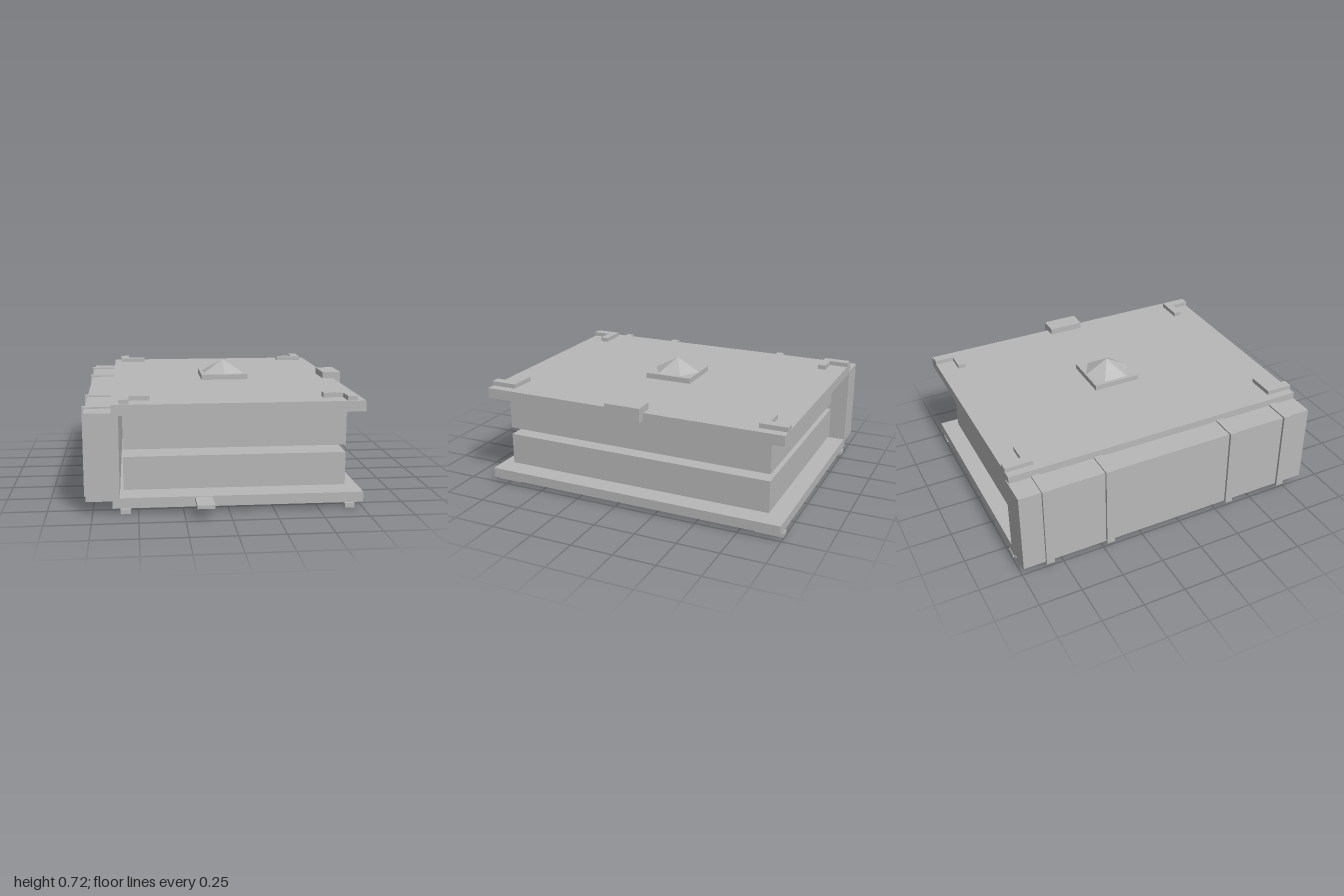
import * as THREE from 'three';

export function createModel() {
  const book = new THREE.Group();
  book.name = 'book';
  const grey = new THREE.MeshStandardMaterial({ color: 0xb8b8b8 });
  grey.name = 'plain grey';

  // Box given by its limits on each axis
  function box(name, [x0, x1], [y0, y1], [z0, z1]) {
    const mesh = new THREE.Mesh(new THREE.BoxGeometry(x1 - x0, y1 - y0, z1 - z0), grey);
    mesh.position.set((x0 + x1) / 2, (y0 + y1) / 2, (z0 + z1) / 2);
    mesh.name = name;
    book.add(mesh);
  }

  // Covers and the two page blocks
  box('backCover', [-0.64, 0.752], [0.032, 0.09], [-0.995, 0.837]);
  box('frontCover', [-0.64, 0.752], [0.546, 0.606], [-0.995, 0.837]);
  box('lowerPages', [-0.58, 0.667], [0.11, 0.298], [-0.9, 0.745]);
  box('upperPages', [-0.58, 0.667], [0.34, 0.53], [-0.9, 0.745]);

  // Spine with raised bands
  box('spine', [-0.785, -0.6], [0.075, 0.563], [-0.999, 0.841]);
  for (const z of [-0.845, -0.475, 0.313, 0.683]) {
    box('spineBand', [-0.8, -0.64], [0.066, 0.572], [z - 0.024, z + 0.024]);
  }

  // L-shaped corner mounts on both covers
  const l = new THREE.Shape();
  [[0.65, 0.918], [0.65, 0.758], [0.483, 0.758], [0.483, 0.806], [0.595, 0.806], [0.595, 0.918]]
    .forEach(([x, y], i) => (i ? l.lineTo(x, y) : l.moveTo(x, y)));
  const mirrored = new THREE.Shape(l.getPoints().map((p) => new THREE.Vector2(-p.x, p.y)));
  for (const y of [0, 0.608]) {
    for (const shape of [l, mirrored]) {
      for (const turn of [0, Math.PI]) {
        const geometry = new THREE.ExtrudeGeometry(shape, { depth: 0.026, bevelEnabled: false });
        geometry.rotateX(-Math.PI / 2).rotateY(turn);
        const mount = new THREE.Mesh(geometry, grey);
        mount.position.set(0.053, y, -0.079);
        mount.name = 'cornerMount';
        book.add(mount);
      }
    }
  }

  // Six-sided gem on a square setting
  box('gemSetting', [-0.09, 0.2], [0.612, 0.644], [-0.225, 0.062]);
  const gemGeometry = new THREE.ConeGeometry(0.143, 0.078, 6).toNonIndexed();
  gemGeometry.computeVertexNormals();
  const gem = new THREE.Mesh(gemGeometry, grey);
  gem.position.set(0.055, 0.683, -0.081);
  gem.name = 'gem';
  book.add(gem);

  // Clasp on the fore edge and ribbon bookmark
  box('clasp', [0.685, 0.799], [0.562, 0.645], [-0.187, 0.028]);
  box('bookmark', [-0.19, -0.095], [0.067, 0.087], [0.8, 1]);

  return book;
}
